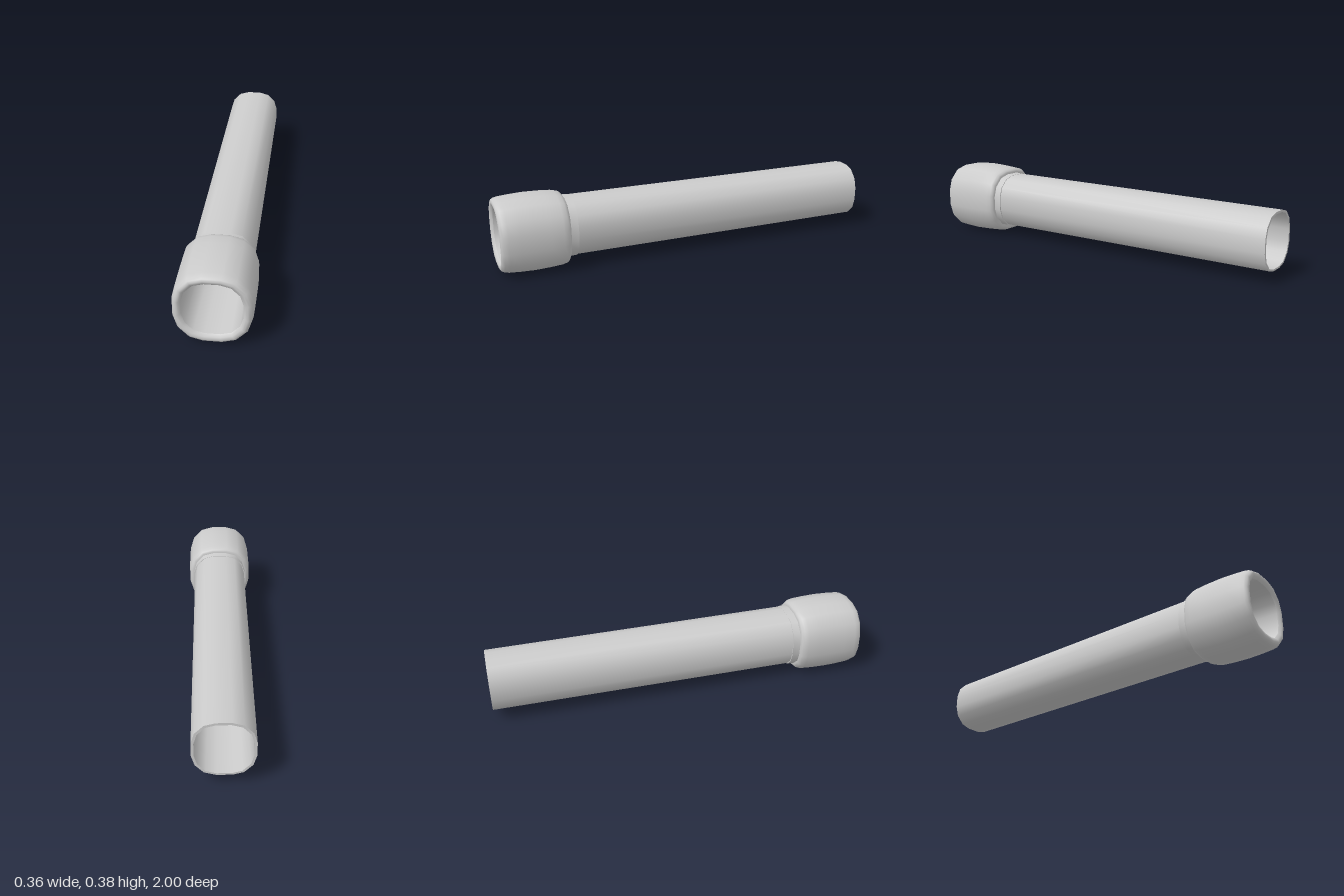
import * as THREE from 'three';
import { toCreasedNormals } from 'three/addons/utils/BufferGeometryUtils.js';

// One quarter of the 16-sided rounded-square section, in unit size
const QUARTER = [[1, 0.24], [0.89, 0.61], [0.61, 0.9], [0.25, 1]];
const SECTION = [
  ...QUARTER,
  ...QUARTER.map(([x, y]) => [-x, y]).reverse(),
  ...QUARTER.map(([x, y]) => [-x, -y]),
  ...QUARTER.map(([x, y]) => [x, -y]).reverse(),
];

// Lofts the section through rings of [z, half width, half height, centre y]
function loft(rings, crease) {
  const n = SECTION.length;
  const positions = [];
  const index = [];
  rings.forEach(([z, hx, hy, cy]) => {
    SECTION.forEach(([x, y]) => positions.push(x * hx, cy + y * hy, z));
  });
  for (let i = 0; i < rings.length - 1; i++) {
    for (let j = 0; j < n; j++) {
      const k = (j + 1) % n;
      const a = i * n + j, b = i * n + k, c = a + n, d = b + n;
      index.push(a, b, d, a, d, c);
    }
  }
  const geometry = new THREE.BufferGeometry();
  geometry.setAttribute('position', new THREE.Float32BufferAttribute(positions, 3));
  geometry.setIndex(index);
  return toCreasedNormals(geometry, crease);
}

export function createModel() {
  const group = new THREE.Group();
  const material = new THREE.MeshStandardMaterial({ color: 0xcccccc, side: THREE.DoubleSide });
  const add = (name, rings, crease) => {
    const mesh = new THREE.Mesh(loft(rings, crease), material);
    mesh.name = name;
    group.add(mesh);
  };

  // Hollow tube: bore from front to back, back rim, then the outer wall
  add('tube', [
    [0.985, 0.138, 0.136, 0.191],
    [-1, 0.132, 0.132, 0.192],
    [-1, 0.144, 0.142, 0.193],
    [0.61, 0.147, 0.146, 0.194],
    [0.61, 0.152, 0.148, 0.193],
    [0.67, 0.152, 0.15, 0.193],
  ], 0.7);

  // Bulging collar with rounded shoulders and a rolled front lip
  add('collar', [
    [0.65, 0.148, 0.146, 0.192],
    [0.65, 0.158, 0.16, 0.191],
    [0.655, 0.168, 0.169, 0.19],
    [0.667, 0.176, 0.176, 0.19],
    [0.69, 0.179, 0.182, 0.19],
    [0.75, 0.18, 0.187, 0.19],
    [0.83, 0.18, 0.19, 0.19],
    [0.9, 0.18, 0.187, 0.19],
    [0.96, 0.179, 0.182, 0.19],
    [0.983, 0.176, 0.177, 0.19],
    [0.995, 0.168, 0.17, 0.19],
    [1, 0.158, 0.16, 0.19],
    [0.997, 0.147, 0.147, 0.191],
    [0.985, 0.138, 0.136, 0.191],
  ], 0.95);

  return group;
}
